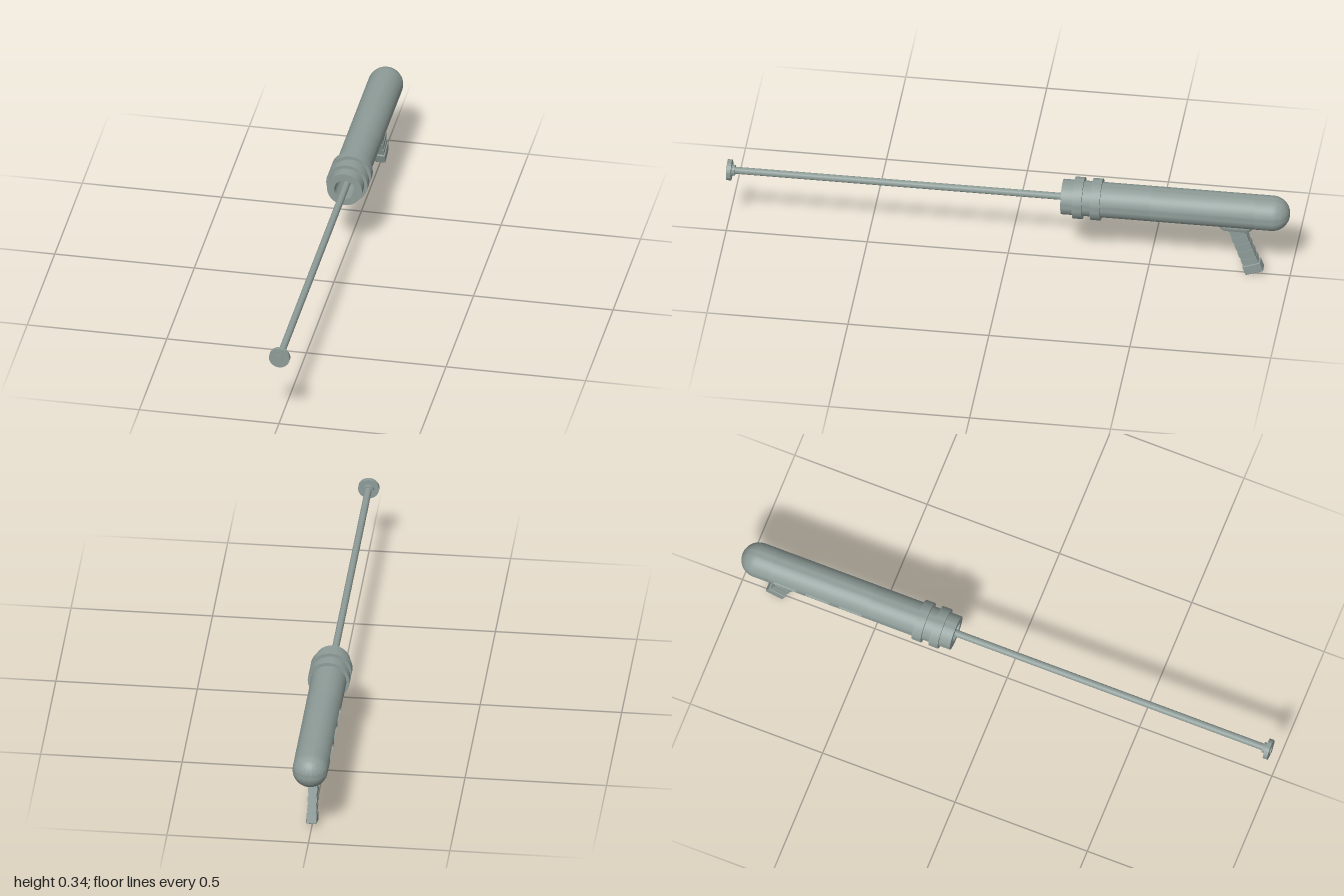
import * as THREE from 'three';
import { toCreasedNormals } from 'three/addons/utils/BufferGeometryUtils.js';
import { RoundedBoxGeometry } from 'three/addons/geometries/RoundedBoxGeometry.js';

const AXIS_Y = 0.2655, R = 0.0625, BORE = 0.037;
const SIDES = 48, STEP = Math.PI * 2 / SIDES;
const SLOT_Z = [-0.818, -0.694, -0.57];
const STRIP = { back: -0.88, front: -0.51, steps: 2 }; // slotted strip of the barrel wall

export function createModel() {
  const model = new THREE.Group();
  const material = new THREE.MeshStandardMaterial({ color: 0x8e9c98, side: THREE.DoubleSide });

  const add = (parent, name, geometry, x = 0, y = 0, z = 0) => {
    const mesh = new THREE.Mesh(geometry, material);
    mesh.name = name;
    mesh.position.set(x, y, z);
    parent.add(mesh);
  };

  // Turned part along z from [radius, z] pairs
  const turned = (profile, sides = SIDES, start = 0, length = Math.PI * 2) => {
    const points = profile.map(([r, z]) => new THREE.Vector2(r, z));
    const geometry = new THREE.LatheGeometry(points, sides, start, length).rotateX(Math.PI / 2);
    return toCreasedNormals(geometry, 0.5);
  };

  // Round-ended outline, long in its second axis
  const stadium = (Type, w, l, cy = 0) => {
    const path = new Type();
    path.absarc(0, cy + l - w, w, 0, Math.PI, false);
    path.absarc(0, cy - l + w, w, Math.PI, Math.PI * 2, false);
    path.closePath();
    return path;
  };

  const barrel = new THREE.Group();
  barrel.name = 'barrel';
  barrel.position.y = AXIS_Y;
  model.add(barrel);

  // Barrel: open muzzle, gapped middle, domed rear
  add(barrel, 'muzzle', turned([[R, STRIP.front], [R, -0.193], [BORE, -0.193], [BORE, STRIP.front]]));
  const gap = [SIDES - 2 * STRIP.steps, Math.PI * 1.5 + STRIP.steps * STEP, Math.PI * 2 - 2 * STRIP.steps * STEP];
  add(barrel, 'barrelOuterWall', turned([[R, STRIP.back], [R, STRIP.front]], ...gap));
  add(barrel, 'barrelInnerWall', turned([[BORE, STRIP.front], [BORE, STRIP.back]], ...gap));
  const dome = [];
  for (let i = 0; i <= 12; i++) {
    const a = (i / 12) * Math.PI / 2;
    dome.push([R * Math.sin(a), -1 + R - R * Math.cos(a)]);
  }
  add(barrel, 'domedRear', turned([...dome, [R, STRIP.back], [BORE, STRIP.back], [BORE, -0.9], [0, -0.9]]));

  // Slotted strip, bent around the barrel on its right side
  const outline = [];
  for (let i = -STRIP.steps; i <= STRIP.steps; i++) outline.push(new THREE.Vector2(i * STEP * R, STRIP.back));
  for (let i = STRIP.steps; i >= -STRIP.steps; i--) outline.push(new THREE.Vector2(i * STEP * R, STRIP.front));
  const strip = new THREE.Shape(outline);
  for (const z of SLOT_Z) strip.holes.push(stadium(THREE.Path, 0.0125, 0.05, z));
  const stripGeometry = new THREE.ExtrudeGeometry(strip, { depth: R - BORE, bevelEnabled: false, curveSegments: 3 });
  const p = stripGeometry.attributes.position;
  for (let i = 0; i < p.count; i++) {
    const a = p.getX(i) / R, r = BORE + p.getZ(i);
    p.setXYZ(i, -r * Math.cos(a), -r * Math.sin(a), p.getY(i));
  }
  add(barrel, 'slottedSide', toCreasedNormals(stripGeometry, 0.6));

  // Two collars near the muzzle
  for (const z of [-0.252, -0.316]) {
    const a = z - 0.017, b = z + 0.017;
    add(barrel, 'collar', turned([[0.06, a], [0.074, a], [0.074, b], [0.06, b]]));
  }

  // Long plunger rod with hub, disc and end nub
  add(barrel, 'plungerRod', turned([[0, -0.88], [0.0125, -0.88], [0.0125, 0.97], [0, 0.97]], 24));
  add(barrel, 'plungerTip', turned([
    [0.0125, 0.968], [0.019, 0.968], [0.019, 0.98], [0.037, 0.98], [0.037, 0.996],
    [0.0125, 0.996], [0.0125, 1], [0, 1],
  ]));

  // Oval mounting plate with a chamfered rim
  const plate = new THREE.ExtrudeGeometry(stadium(THREE.Shape, 0.022, 0.052), {
    depth: 0.013, bevelThickness: 0.007, bevelSize: 0.008, bevelSegments: 2, curveSegments: 10,
  }).rotateX(-Math.PI / 2);
  add(model, 'gripPlate', toCreasedNormals(plate, 0.6), 0, 0.197, -0.81);

  // Raked grip with shallow ribs and a chamfered end cap
  const grip = new THREE.Group();
  grip.name = 'grip';
  grip.position.set(0, 0.2, -0.807);
  grip.rotation.x = 0.35;
  model.add(grip);
  add(grip, 'gripCore', new THREE.BoxGeometry(0.029, 0.18, 0.055), 0, -0.09, 0);
  for (let i = 0; i < 4; i++) {
    add(grip, 'gripRib', new THREE.BoxGeometry(0.033, 0.018, 0.058), 0, -0.05 - i * 0.032, 0);
  }
  add(grip, 'gripCap', new RoundedBoxGeometry(0.037, 0.037, 0.067, 1, 0.003), 0, -0.182, 0);

  return model;
}
